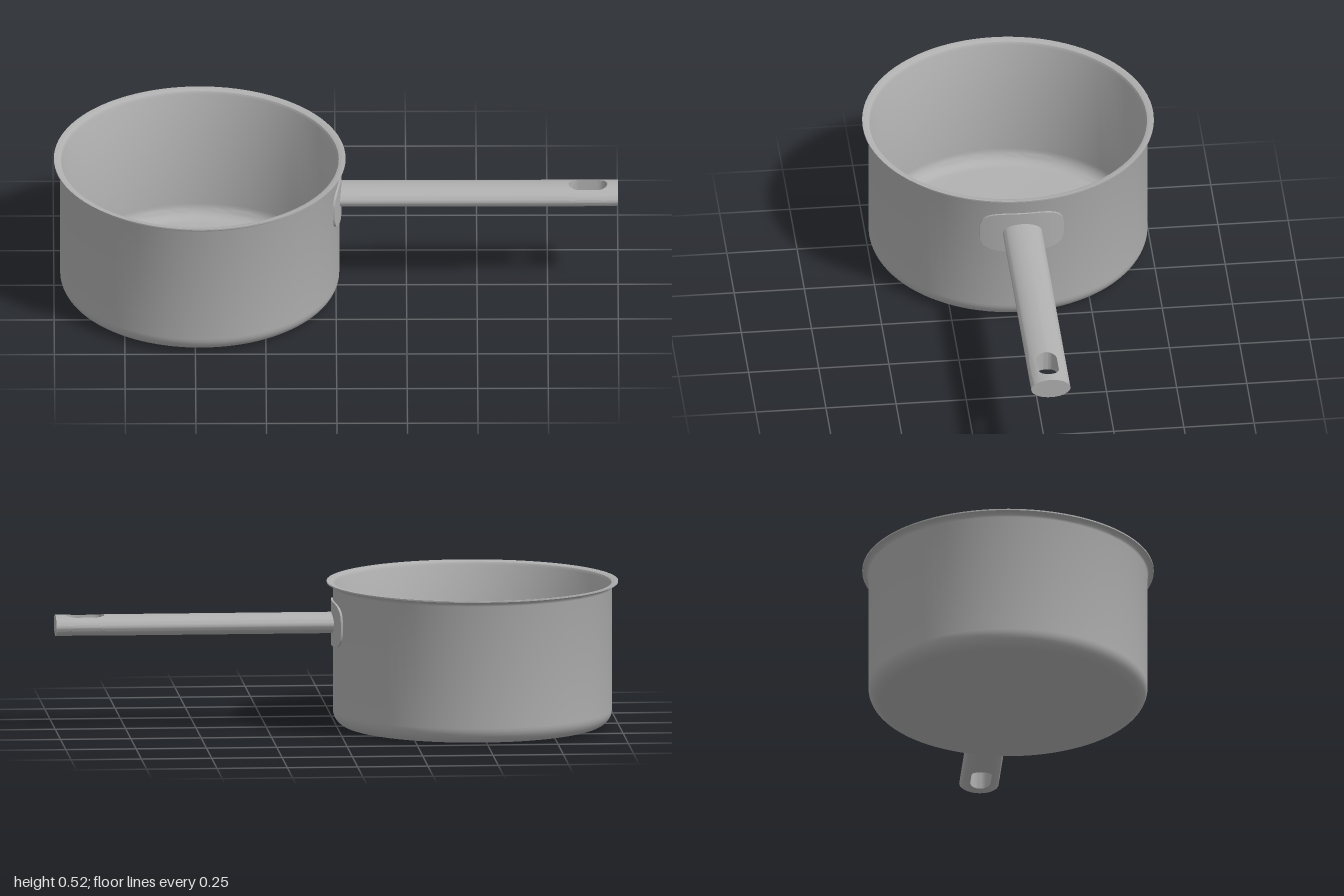
import * as THREE from 'three';
import { toCreasedNormals } from 'three/addons/utils/BufferGeometryUtils.js';

const POT_X = -0.483;
const HANDLE_Y = 0.372;

// Adds the quads between successive cross-sections to a triangle list
function loft(out, sections) {
  for (let i = 0; i < sections.length - 1; i++) {
    for (let j = 0; j < sections[i].length - 1; j++) {
      const a = sections[i][j], b = sections[i][j + 1];
      const c = sections[i + 1][j + 1], d = sections[i + 1][j];
      out.push(...a, ...b, ...d, ...b, ...c, ...d);
    }
  }
}

function toMesh(positions, name, material) {
  const geometry = new THREE.BufferGeometry();
  geometry.setAttribute('position', new THREE.Float32BufferAttribute(positions, 3));
  const mesh = new THREE.Mesh(toCreasedNormals(geometry, 0.6), material);
  mesh.name = name;
  return mesh;
}

// Thin-walled pot with rounded base and flared lip
function makePot(material) {
  const p = [];
  const add = (x, y) => p.push(new THREE.Vector2(x, y));
  const arc = (cx, cy, r, from, to) => {
    for (let i = 0; i <= 8; i++) {
      const t = from + (to - from) * i / 8;
      add(cx + r * Math.cos(t), cy + r * Math.sin(t));
    }
  };
  add(0, 0);
  arc(0.437, 0.058, 0.058, -Math.PI / 2, 0);
  add(0.495, 0.495);
  add(0.498, 0.503);
  add(0.506, 0.509);
  add(0.517, 0.512);
  add(0.517, 0.517);
  add(0.504, 0.516);
  add(0.493, 0.512);
  add(0.487, 0.502);
  arc(0.437, 0.058, 0.05, 0, -Math.PI / 2);
  add(0, 0.008);
  const pot = new THREE.Mesh(toCreasedNormals(new THREE.LatheGeometry(p, 96), 0.6), material);
  pot.name = 'pot';
  pot.position.x = POT_X;
  return pot;
}

// Rounded mounting plate wrapped around the pot wall
function makePlate(material) {
  const sections = [];
  const n = 40, halfWidth = 0.15, halfHeight = 0.08;
  for (let i = 0; i <= n; i++) {
    const u = -Math.cos(Math.PI * i / n);
    const h = halfHeight * Math.pow(Math.max(0, 1 - Math.pow(Math.abs(u), 3.5)), 1 / 3.5);
    const z = halfWidth * u;
    const at = (r, y) => [POT_X + Math.sqrt(r * r - z * z), HANDLE_Y + y, z];
    sections.push([at(0.492, -h), at(0.502, -h), at(0.502, h), at(0.492, h)]);
  }
  const positions = [];
  loft(positions, sections);
  return toMesh(positions, 'mountingPlate', material);
}

// Oval bar handle with a round-ended hanging slot cut through it
function makeHandle(material) {
  const a = 0.07, b = 0.037, start = -0.004, end = 1;
  const slotStart = 0.825, slotEnd = 0.962, r = 0.036;
  const stations = [[start, 0]];
  for (let i = 0; i <= 10; i++) {
    const t = Math.PI / 2 * i / 10;
    stations.push([slotStart + r - r * Math.cos(t), r * Math.sin(t)]);
  }
  for (let i = 10; i >= 0; i--) {
    const t = Math.PI / 2 * i / 10;
    stations.push([slotEnd - r + r * Math.cos(t), r * Math.sin(t)]);
  }
  stations.push([end, 0]);

  const positions = [];
  for (const side of [1, -1]) {
    const orient = (points) => (side > 0 ? points : points.reverse());
    const section = ([x, w], flat = 1) => {
      const t0 = Math.acos(w / a), points = [];
      for (let j = 0; j <= 20; j++) {
        const t = t0 * (1 - j / 10);
        points.push([x, HANDLE_Y + b * Math.sin(t), side * flat * a * Math.cos(t)]);
      }
      return orient(points);
    };
    // outer skin
    loft(positions, stations.map((s) => section(s)));
    // slot wall
    loft(positions, stations.slice(1, -1).map(([x, w]) => {
      const h = b * Math.sqrt(1 - (w / a) ** 2);
      return orient([[x, HANDLE_Y - h, side * w], [x, HANDLE_Y + h, side * w]]);
    }));
    // end faces
    loft(positions, [section([end, 0]), section([end, 0], 0)]);
    loft(positions, [section([start, 0], 0), section([start, 0])]);
  }
  return toMesh(positions, 'handle', material);
}

export function createModel() {
  const steel = new THREE.MeshStandardMaterial({ color: 0xb0b0b0 });
  steel.name = 'steel';
  const model = new THREE.Group();
  model.name = 'saucepan';
  model.add(makePot(steel), makePlate(steel), makeHandle(steel));
  return model;
}
